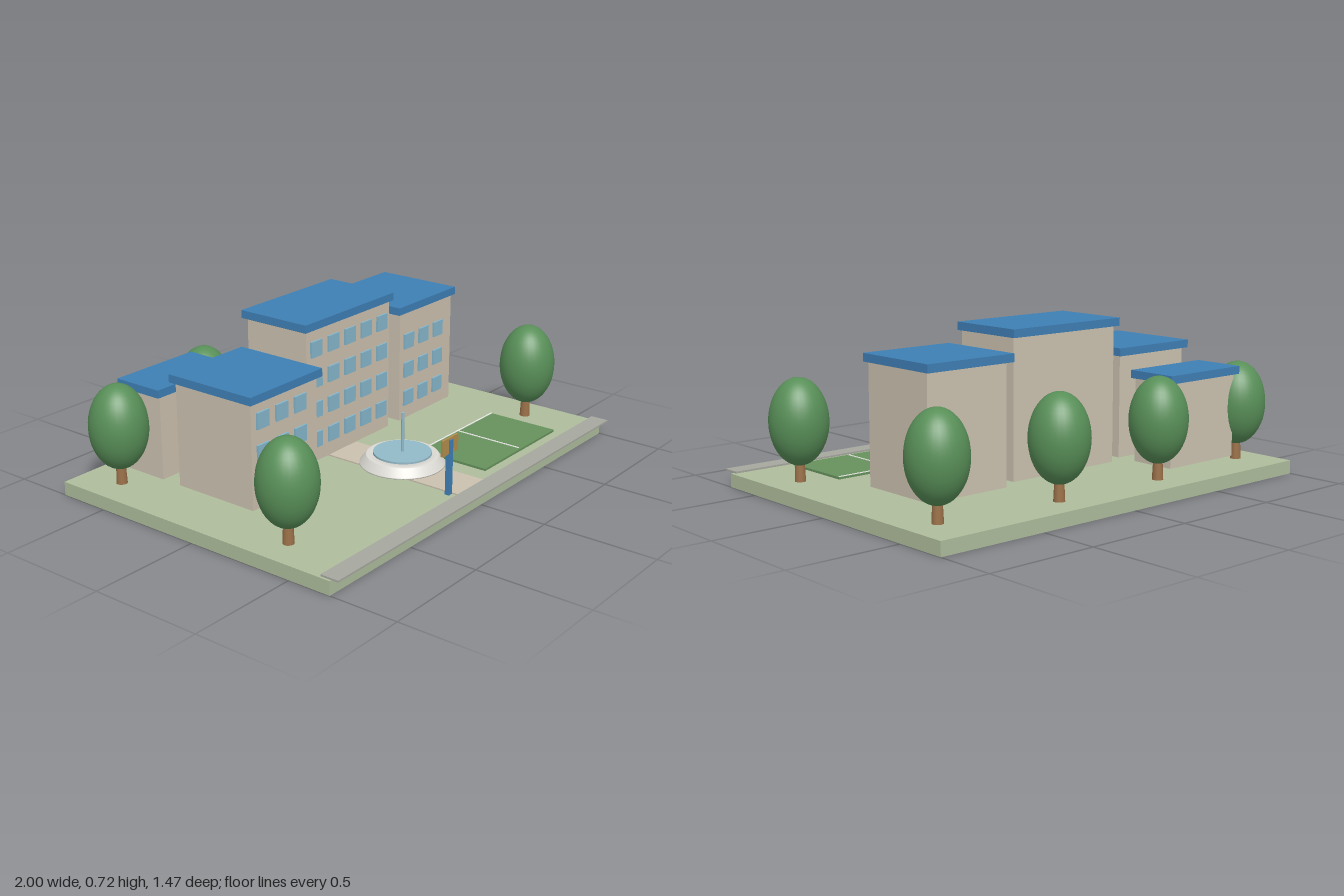
import * as THREE from 'three';

const mat = (color, side = THREE.FrontSide) => new THREE.MeshStandardMaterial({ color, side });

export function createModel() {
  const root = new THREE.Group();
  root.name = 'campus';
  const M = {
    grass: mat(0xaebd9c), road: mat(0xa6a89f), path: mat(0xcbc0ae), wall: mat(0xcbc1af),
    roof: mat(0x3f7fb5), glass: mat(0x85b6cc), court: mat(0x66925c), line: mat(0xeeeeea),
    stone: mat(0xdcdad4, THREE.DoubleSide), water: mat(0x93bac8), leaf: mat(0x588f58),
    bark: mat(0x9a7048), board: mat(0xb08d4c),
  };

  const add = (parent, name, geometry, material, x = 0, y = 0, z = 0) => {
    const mesh = new THREE.Mesh(geometry, material);
    mesh.name = name;
    mesh.position.set(x, y, z);
    parent.add(mesh);
    return mesh;
  };
  // box given by its limits on each axis
  const box = (parent, name, material, [x0, x1], [y0, y1], [z0, z1]) =>
    add(parent, name, new THREE.BoxGeometry(x1 - x0, y1 - y0, z1 - z0), material,
      (x0 + x1) / 2, (y0 + y1) / 2, (z0 + z1) / 2);
  const group = (name, x = 0, y = 0, z = 0) => {
    const g = new THREE.Group();
    g.name = name;
    g.position.set(x, y, z);
    root.add(g);
    return g;
  };

  // grounds
  box(root, 'lawn', M.grass, [-1, 1], [0, 0.06], [-0.735, 0.695]);
  box(root, 'road', M.road, [-1, 1], [0.067, 0.075], [0.652, 0.735]);
  box(root, 'path', M.path, [-0.095, 0.095], [0.06, 0.066], [-0.16, 0.652]);

  // sports court with its markings
  const court = group('sportsCourt');
  box(court, 'courtSurface', M.court, [0.17, 0.738], [0.068, 0.078], [0.265, 0.603]);
  box(court, 'courtCentreLine', M.line, [0.452, 0.458], [0.076, 0.081], [0.274, 0.592]);
  box(court, 'courtBackLine', M.line, [0.172, 0.736], [0.076, 0.081], [0.266, 0.272]);

  // buildings: walls, overhanging flat roof and a grid of front windows
  const buildings = [
    { name: 'mainBuilding', x: [-0.288, 0.286], z: [-0.322, 0], top: 0.685,
      rx: [-0.304, 0.301], rz: [-0.342, 0.011], cols: 5, rows: 4 },
    { name: 'leftBuilding', x: [0.37, 0.77], z: [-0.374, 0], top: 0.6,
      rx: [0.35, 0.787], rz: [-0.4, 0.011], cols: 3, rows: 3, wx: 0.547 },
    { name: 'rightBuilding', x: [-0.773, -0.372], z: [-0.28, 0.123], top: 0.543,
      rx: [-0.791, -0.354], rz: [-0.3, 0.139], cols: 3, rows: 3, wx: -0.595 },
    { name: 'rearBuilding', x: [-0.773, -0.372], z: [-0.585, -0.376], top: 0.457,
      rx: [-0.791, -0.354], rz: [-0.602, -0.366], cols: 0, rows: 0 },
  ];
  const pane = new THREE.BoxGeometry(0.07, 0.07, 0.018);
  for (const b of buildings) {
    const g = group(b.name);
    box(g, 'walls', M.wall, b.x, [0.09, b.top], b.z);
    box(g, 'roof', M.roof, b.rx, [b.top, b.top + 0.035], b.rz);
    for (let r = 0; r < b.rows; r++) {
      for (let c = 0; c < b.cols; c++) {
        const x = (b.wx ?? 0) + (c - (b.cols - 1) / 2) * 0.1135;
        add(g, 'window', pane, M.glass, x, 0.19 + r * 0.1365, b.z[1]);
      }
    }
  }

  // fountain: sloped stone basin, water disc and jet
  const fountain = group('fountain', 0, 0, 0.29);
  const profile = [[0, 0.083], [0.184, 0.083], [0.184, 0.088], [0.158, 0.122], [0.155, 0.125], [0.127, 0.128], [0.12, 0.115]]
    .map(([r, y]) => new THREE.Vector2(r, y));
  const basin = new THREE.LatheGeometry(profile, 48);
  add(fountain, 'basin', basin, M.stone);
  add(fountain, 'water', new THREE.CylinderGeometry(0.126, 0.126, 0.012, 48), M.water, 0, 0.13, 0);
  add(fountain, 'jet', new THREE.CylinderGeometry(0.007, 0.007, 0.185, 12), M.water, 0, 0.22, 0);

  // sign by the entrance
  const sign = group('sign', -0.117, 0, 0.61);
  box(sign, 'signPost', M.roof, [-0.012, 0.012], [0.066, 0.309], [-0.01, 0.01]);
  box(sign, 'signBoard', M.board, [-0.055, 0.055], [0.248, 0.318], [-0.005, 0.005]);

  // trees
  const crown = new THREE.SphereGeometry(1, 32, 24);
  crown.scale(0.126, 0.186, 0.126);
  const trunk = new THREE.CylinderGeometry(0.018, 0.024, 0.12, 16);
  const spots = [[0.285, -0.593], [0.856, -0.539], [0.856, 0.377]];
  for (const [px, z] of spots) {
    for (const side of [-1, 1]) {
      const tree = group('tree', side * px, 0, z);
      add(tree, 'trunk', trunk, M.bark, 0, 0.12, 0);
      add(tree, 'crown', crown, M.leaf, 0, 0.315, 0);
    }
  }
  return root;
}
